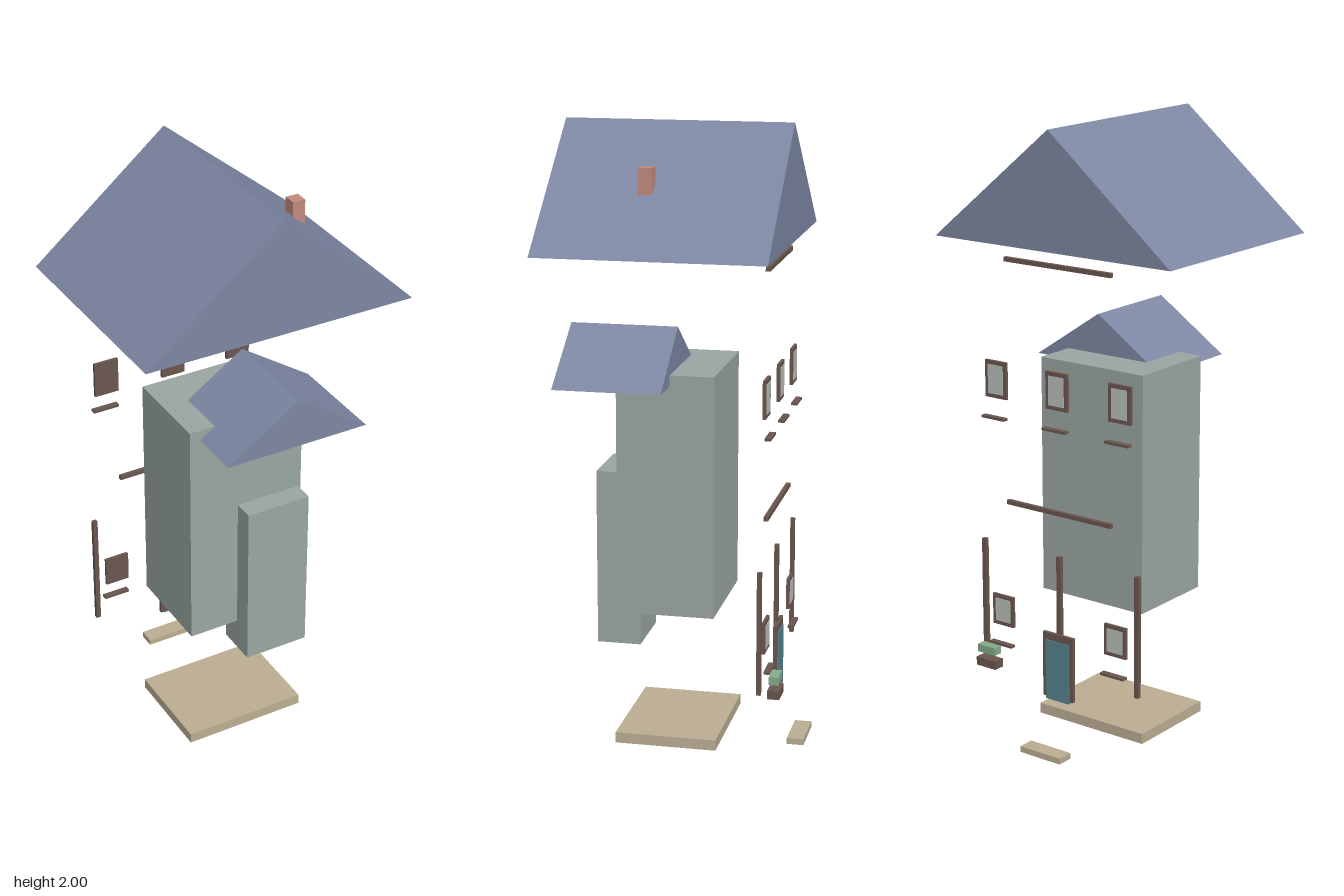
import * as THREE from 'three';

const mat = (color) => new THREE.MeshStandardMaterial({ color, flatShading: true });
const wall = mat(0x9aa6a2), roofing = mat(0x7d87a3), timber = mat(0x6b564f), stone = mat(0xbcae93);
const brick = mat(0xc28a7c), glazing = mat(0xb9c0ba), paint = mat(0x55838c), leaf = mat(0x86ab8a);

export function createModel() {
  const house = new THREE.Group();
  house.name = 'explodedHouse';

  // box given by its min and max along each axis
  const box = (name, material, [x0, x1], [y0, y1], [z0, z1], parent = house) => {
    const mesh = new THREE.Mesh(new THREE.BoxGeometry(x1 - x0, y1 - y0, z1 - z0), material);
    mesh.position.set((x0 + x1) / 2, (y0 + y1) / 2, (z0 + z1) / 2);
    mesh.name = name;
    parent.add(mesh);
    return mesh;
  };

  // closed gable prism with its ridge along z
  const gable = (name, x, half, y0, y1, z0, z1) => {
    const shape = new THREE.Shape([
      new THREE.Vector2(-half, 0), new THREE.Vector2(half, 0), new THREE.Vector2(0, y1 - y0),
    ]);
    const mesh = new THREE.Mesh(
      new THREE.ExtrudeGeometry(shape, { depth: z1 - z0, bevelEnabled: false }), roofing);
    mesh.position.set(x, y0, z0);
    mesh.name = name;
    house.add(mesh);
  };

  // framed window with a sill floating below it
  const windowUnit = (name, x, y0, y1, sillY) => {
    const unit = new THREE.Group();
    unit.name = name;
    box('windowFrame', timber, [x - 0.042, x + 0.042], [y0, y1], [-0.298, -0.288], unit);
    box('windowPane', glazing, [x - 0.03, x + 0.03], [y0 + 0.013, y1 - 0.013], [-0.3, -0.292], unit);
    box('windowSill', timber, [x - 0.045, x + 0.045], [sillY - 0.004, sillY + 0.004], [-0.315, -0.295], unit);
    house.add(unit);
  };

  // ground pieces
  box('foundation', stone, [-0.21, 0.21], [0.01, 0.045], [-0.13, 0.2]);
  box('doorStep', stone, [-0.08, 0.08], [0, 0.02], [-0.395, -0.34]);

  // wall volumes
  box('mainBody', wall, [-0.2, 0.2], [0.452, 1.235], [-0.12, 0.192]);
  box('frontWing', wall, [-0.03, 0.19], [0.345, 0.913], [0.12, 0.26]);

  // roofs and chimney
  gable('mainRoof', 0, 0.45, 1.63, 2, -0.33, 0.395);
  gable('wingRoof', 0.08, 0.245, 1.2, 1.365, 0.02, 0.365);
  box('chimney', brick, [0.203, 0.245], [1.79, 1.88], [0.062, 0.106]);

  // timber framing
  for (const y of [0.793, 1.579]) {
    box('horizontalBeam', timber, [-0.206, 0.206], [y - 0.007, y + 0.007], [-0.294, -0.28]);
  }
  for (const x of [-0.305, 0, 0.305]) {
    box('verticalPost', timber, [x - 0.008, x + 0.008], [0.25, 0.65], [-0.294, -0.28]);
  }

  // windows
  for (const x of [-0.242, 0, 0.242]) windowUnit('upperWindow', x, 1.13, 1.25, 1.068);
  for (const x of [-0.225, 0.225]) windowUnit('lowerWindow', x, 0.37, 0.473, 0.309);

  // door
  box('doorFrame', timber, [-0.06, 0.06], [0.172, 0.39], [-0.3, -0.288]);
  box('doorPanel', paint, [-0.046, 0.046], [0.165, 0.366], [-0.304, -0.292]);

  // planter
  box('planterBox', timber, [0.217, 0.296], [0.234, 0.262], [-0.351, -0.312]);
  box('planterGreenery', leaf, [0.222, 0.293], [0.28, 0.306], [-0.347, -0.316]);

  return house;
}
